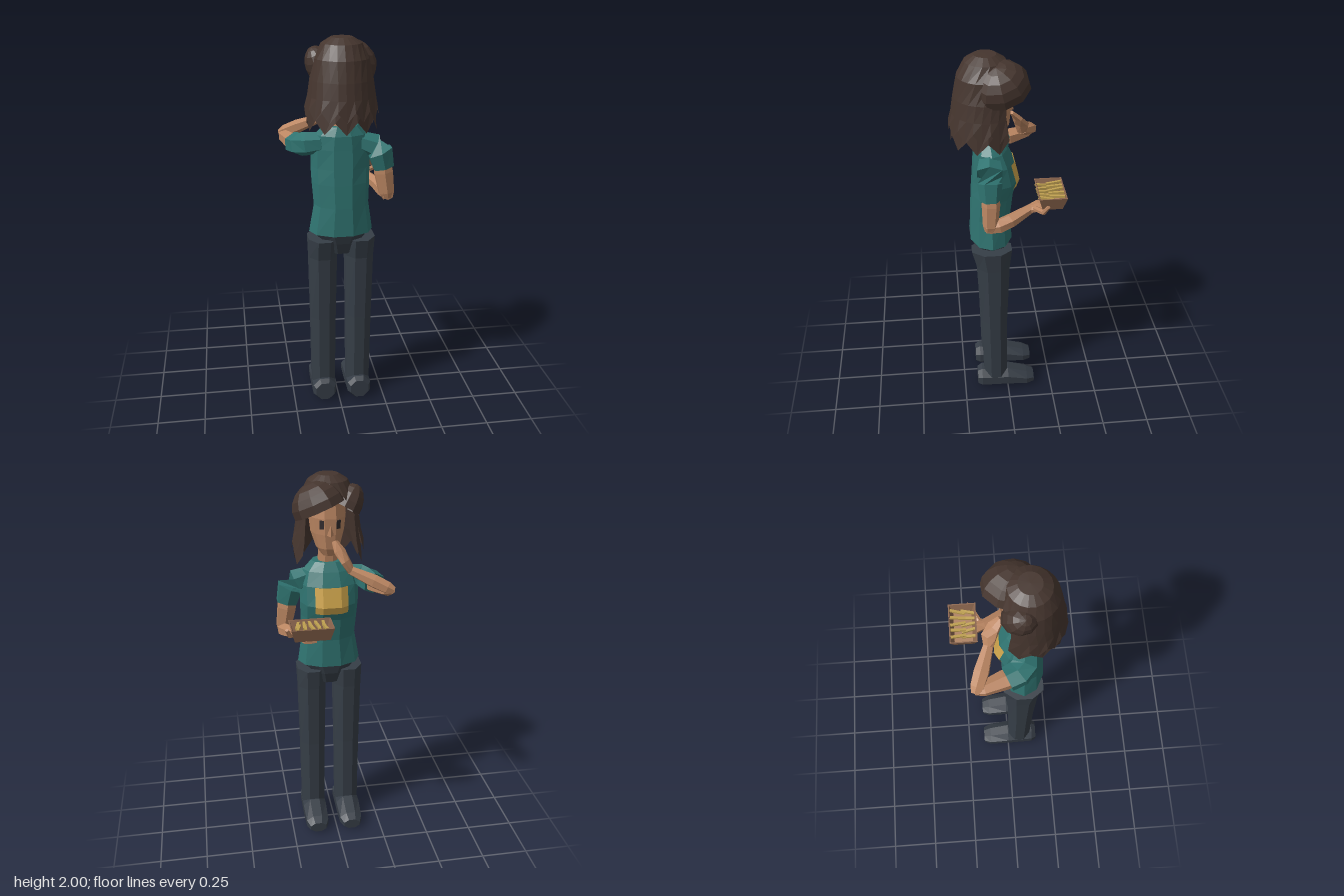
import * as THREE from 'three';

const mat = (name, color, side = THREE.FrontSide) => {
  const m = new THREE.MeshStandardMaterial({ color, side });
  m.name = name;
  return m;
};
const V = (x, y, z) => new THREE.Vector3(x, y, z);

// Faceted surface through rows of points; closed rows wrap round and get end caps.
function skin(rows, closed = true) {
  const pos = [];
  const tri = (...pts) => pts.forEach(p => pos.push(p.x, p.y, p.z));
  const n = rows[0].length;
  for (let r = 0; r < rows.length - 1; r++) {
    const p = rows[r], q = rows[r + 1];
    for (let i = 0; i < (closed ? n : n - 1); i++) {
      const j = (i + 1) % n;
      tri(p[i], p[j], q[j]);
      tri(p[i], q[j], q[i]);
    }
  }
  if (closed) {
    const mid = row => row.reduce((s, p) => s.add(p), V(0, 0, 0)).divideScalar(n);
    const a = rows[0], b = rows[rows.length - 1], ca = mid(a), cb = mid(b);
    for (let i = 0; i < n; i++) {
      const j = (i + 1) % n;
      tri(ca, a[j], a[i]);
      tri(cb, b[i], b[j]);
    }
  }
  const g = new THREE.BufferGeometry();
  g.setAttribute('position', new THREE.Float32BufferAttribute(pos, 3));
  g.computeVertexNormals();
  return g;
}

// Polygon ring round c, with flat sides facing along u.
function ring(c, u, v, ru, rv, n) {
  const k = 1 / Math.cos(Math.PI / n), kv = n % 4 ? 1 : k;
  return Array.from({ length: n }, (_, i) => {
    const a = (i + 0.5) * 2 * Math.PI / n;
    return c.clone().addScaledVector(u, ru * k * Math.cos(a)).addScaledVector(v, rv * kv * Math.sin(a));
  });
}

// Upright body section: rows are [x, y, z, halfWidth, halfDepth].
const tower = (rows, n) => skin(rows.map(([x, y, z, rx, rz]) =>
  ring(V(x, y, z), V(0, 0, 1), V(1, 0, 0), rz, rx, n)));

// Limb along a path: rows are [x, y, z, radius, thickness].
function limb(rows, n = 6) {
  const pts = rows.map(r => V(r[0], r[1], r[2]));
  return skin(rows.map((r, i) => {
    const d = pts[Math.min(i + 1, pts.length - 1)].clone().sub(pts[Math.max(i - 1, 0)]).normalize();
    const ref = Math.abs(d.y) > 0.9 ? V(0, 0, 1) : V(0, 1, 0);
    const u = ref.cross(d).normalize(), v = d.clone().cross(u);
    return ring(pts[i], u, v, r[3], r[4] ?? r[3], n);
  }));
}

// Open hair shell: rows are [y, radius, half sweep from the back, zigzag depth].
const hairShell = (rows, cols = 18) => skin(rows.map(([y, r, sweep, zig = 0]) =>
  Array.from({ length: cols + 1 }, (_, i) => {
    const a = (i / cols * 2 - 1) * sweep;
    return V(0.015 + r * Math.sin(a), y + (i % 2 ? -zig : zig), 0.1 + r * Math.cos(a));
  })).reverse(), false);

export function createModel() {
  const model = new THREE.Group();
  model.name = 'standingPerson';
  const skinTone = mat('skin', 0xbb8662);
  const hair = mat('hair brown', 0x45352e, THREE.DoubleSide);
  const shirt = mat('shirt teal', 0x2f7370);
  const trousers = mat('trouser slate', 0x363e47);
  const shoe = mat('shoe slate', 0x353c45);
  const tray = mat('tray brown', 0x8c664e);
  const trayFloor = mat('tray floor tan', 0xae8261);
  const stick = mat('snack yellow', 0xbfa050);
  const patch = mat('patch yellow', 0xcfa54c, THREE.DoubleSide);
  const eye = mat('eye dark', 0x302a2c);
  const add = (name, geometry, material, parent = model) => {
    const m = new THREE.Mesh(geometry, material);
    m.name = name;
    parent.add(m);
    return m;
  };

  // Legs and shoes
  for (const [side, s] of [['left', 1], ['right', -1]]) {
    const x = 0.015 + s * 0.097;
    add(side + 'Leg', tower([
      [x, 0.08, 0.07, 0.064, 0.066], [x, 0.5, 0.075, 0.068, 0.07],
      [x, 0.86, 0.077, 0.074, 0.085], [x, 0.97, 0.085, 0.078, 0.105]], 8), trousers);
    const shoeRows = [[0.175, 0.062, 0.05, 0.05], [0.15, 0.065, 0.064, 0.064], [0, 0.062, 0.062, 0.066],
      [-0.11, 0.043, 0.043, 0.062], [-0.152, 0.038, 0.028, 0.045]];
    add(side + 'Shoe', skin(shoeRows.map(([z, y, ry, rx]) =>
      ring(V(x, y, z), V(0, 1, 0), V(1, 0, 0), ry, rx, 8))), shoe);
  }
  add('hips', tower([[0.015, 0.885, 0.08, 0.075, 0.065], [0.015, 0.95, 0.08, 0.11, 0.09],
    [0.015, 1.005, 0.083, 0.158, 0.103]], 10), trousers);

  // Torso with a patch bent over the chest
  add('shirtBody', tower([[0.015, 1.0, 0.083, 0.167, 0.108], [0.017, 1.15, 0.084, 0.143, 0.102],
    [0.015, 1.27, 0.074, 0.15, 0.105], [0.015, 1.35, 0.057, 0.153, 0.116],
    [0.015, 1.45, 0.066, 0.153, 0.1], [0.015, 1.52, 0.08, 0.133, 0.083],
    [0.015, 1.565, 0.085, 0.09, 0.062]], 10), shirt);
  add('chestPatch', skin([[1.31, -0.05], [1.35, -0.064], [1.45, -0.039]].map(([y, z]) =>
    [0.085, 0.047, -0.047, -0.085].map(dx => V(0.015 + dx, y, z + (Math.abs(dx) > 0.05 ? 0.021 : 0)))), false), patch);

  // Arm holding the tray
  const trayArm = new THREE.Group();
  trayArm.name = 'trayArm';
  model.add(trayArm);
  add('sleeve', limb([[0.11, 1.48, 0.09, 0.05], [0.18, 1.455, 0.095, 0.062], [0.215, 1.42, 0.097, 0.062],
    [0.235, 1.335, 0.098, 0.05]]), shirt, trayArm);
  add('upperArm', limb([[0.225, 1.38, 0.095, 0.04], [0.235, 1.31, 0.095, 0.046], [0.252, 1.2, 0.1, 0.038],
    [0.258, 1.17, 0.105, 0.025]]), skinTone, trayArm);
  add('forearm', limb([[0.258, 1.19, 0.125, 0.026], [0.25, 1.195, 0.06, 0.036], [0.23, 1.21, 0, 0.034],
    [0.172, 1.24, -0.11, 0.023]]), skinTone, trayArm);
  add('hand', limb([[0.175, 1.238, -0.1, 0.025, 0.018], [0.165, 1.25, -0.15, 0.042, 0.016],
    [0.16, 1.255, -0.21, 0.042, 0.012], [0.158, 1.258, -0.255, 0.032, 0.008]]), skinTone, trayArm);
  add('thumb', limb([[0.19, 1.25, -0.13, 0.014], [0.25, 1.262, -0.165, 0.014], [0.266, 1.3, -0.185, 0.009]]),
    skinTone, trayArm);

  // Arm raised to the mouth
  const raisedArm = new THREE.Group();
  raisedArm.name = 'raisedArm';
  model.add(raisedArm);
  add('sleeve', limb([[-0.08, 1.48, 0.09, 0.05], [-0.15, 1.47, 0.075, 0.06], [-0.185, 1.46, 0.045, 0.06],
    [-0.208, 1.452, -0.012, 0.056]]), shirt, raisedArm);
  add('upperArm', limb([[-0.2, 1.455, 0.02, 0.042], [-0.212, 1.453, -0.03, 0.044],
    [-0.25, 1.46, -0.13, 0.033], [-0.262, 1.468, -0.17, 0.018]]), skinTone, raisedArm);
  add('forearm', limb([[-0.275, 1.468, -0.168, 0.018], [-0.245, 1.48, -0.155, 0.032],
    [-0.18, 1.51, -0.13, 0.035], [-0.065, 1.56, -0.088, 0.022]]), skinTone, raisedArm);
  add('hand', limb([[-0.075, 1.55, -0.09, 0.022, 0.02], [-0.045, 1.605, -0.085, 0.036, 0.02],
    [-0.02, 1.65, -0.06, 0.032, 0.016], [0, 1.69, -0.027, 0.016, 0.01]]), skinTone, raisedArm);

  // Neck, head and face
  add('neck', tower([[0.018, 1.53, 0.085, 0.05, 0.048], [0.018, 1.68, 0.075, 0.045, 0.045]], 8), skinTone);
  add('head', tower([[0.02, 1.605, 0.045, 0.033, 0.04], [0.02, 1.645, 0.06, 0.062, 0.073],
    [0.02, 1.72, 0.08, 0.086, 0.1], [0.02, 1.8, 0.083, 0.095, 0.105], [0.02, 1.9, 0.085, 0.085, 0.09],
    [0.02, 1.95, 0.09, 0.05, 0.05]], 10), skinTone);
  const nose = add('nose', new THREE.ConeGeometry(0.018, 0.055, 4).toNonIndexed(), skinTone);
  nose.geometry.computeVertexNormals();
  nose.position.set(0.02, 1.745, -0.025);
  nose.rotation.x = -0.25;
  for (const s of [1, -1]) {
    const e = add(s > 0 ? 'leftEye' : 'rightEye', new THREE.BoxGeometry(0.022, 0.042, 0.008), eye);
    e.position.set(0.02 + s * 0.041, 1.772, -0.014);
    e.rotation.y = -s * 0.5;
  }

  // Hair: two jagged layers, swept fringe and a side lock
  add('hairOuter', hairShell([[2, 0, Math.PI], [1.998, 0.055, Math.PI], [1.97, 0.1, Math.PI], [1.9, 0.137, 2.65],
    [1.8, 0.157, 2.2], [1.72, 0.169, 2.1], [1.64, 0.184, 2.1, 0.025]]), hair);
  add('hairInner', hairShell([[1.8, 0.145, 2.15], [1.68, 0.162, 2.2], [1.585, 0.175, 2.2, 0.03]], 14), hair);
  for (const [name, p, r, tilt] of [
    ['fringe', [0.068, 1.85, 0.03], [0.135, 0.127, 0.145], -0.38],
    ['sideLock', [-0.075, 1.845, 0.05], [0.075, 0.115, 0.085], 0.5]]) {
    const dome = new THREE.SphereGeometry(1, 10, 5, 0, 2 * Math.PI, 0, 1.68).scale(...r).toNonIndexed();
    dome.computeVertexNormals();
    const m = add(name, dome, hair);
    m.position.set(...p);
    m.rotation.set(0.22, 0, tilt);
  }

  // Tray with sloping walls and snack sticks
  const box = new THREE.Group();
  box.name = 'snackTray';
  model.add(box);
  const tx = 0.147, tz = -0.211;
  add('trayShell', tower([[tx, 1.267, tz, 0.088, 0.05], [tx, 1.335, tz, 0.107, 0.07],
    [tx, 1.335, tz, 0.101, 0.064], [tx, 1.278, tz, 0.083, 0.045]], 4), tray, box);
  add('trayFloor', new THREE.BoxGeometry(0.168, 0.006, 0.094).translate(tx, 1.279, tz), trayFloor, box);
  const turns = [0.12, 0, 0.15, -0.08, -0.25, 0, 0.2, 0.13, -0.1, -0.28];
  turns.forEach((turn, i) => {
    const row = Math.floor(i / 5);
    const m = add('snackStick', new THREE.BoxGeometry(0.013, 0.012, 0.078), stick, box);
    m.position.set(0.08 + (i % 5) * 0.033, row ? 1.318 : 1.328, row ? -0.18 : -0.235);
    m.rotation.set(row ? -0.08 : 0.08, turn, 0);
  });
  return model;
}
